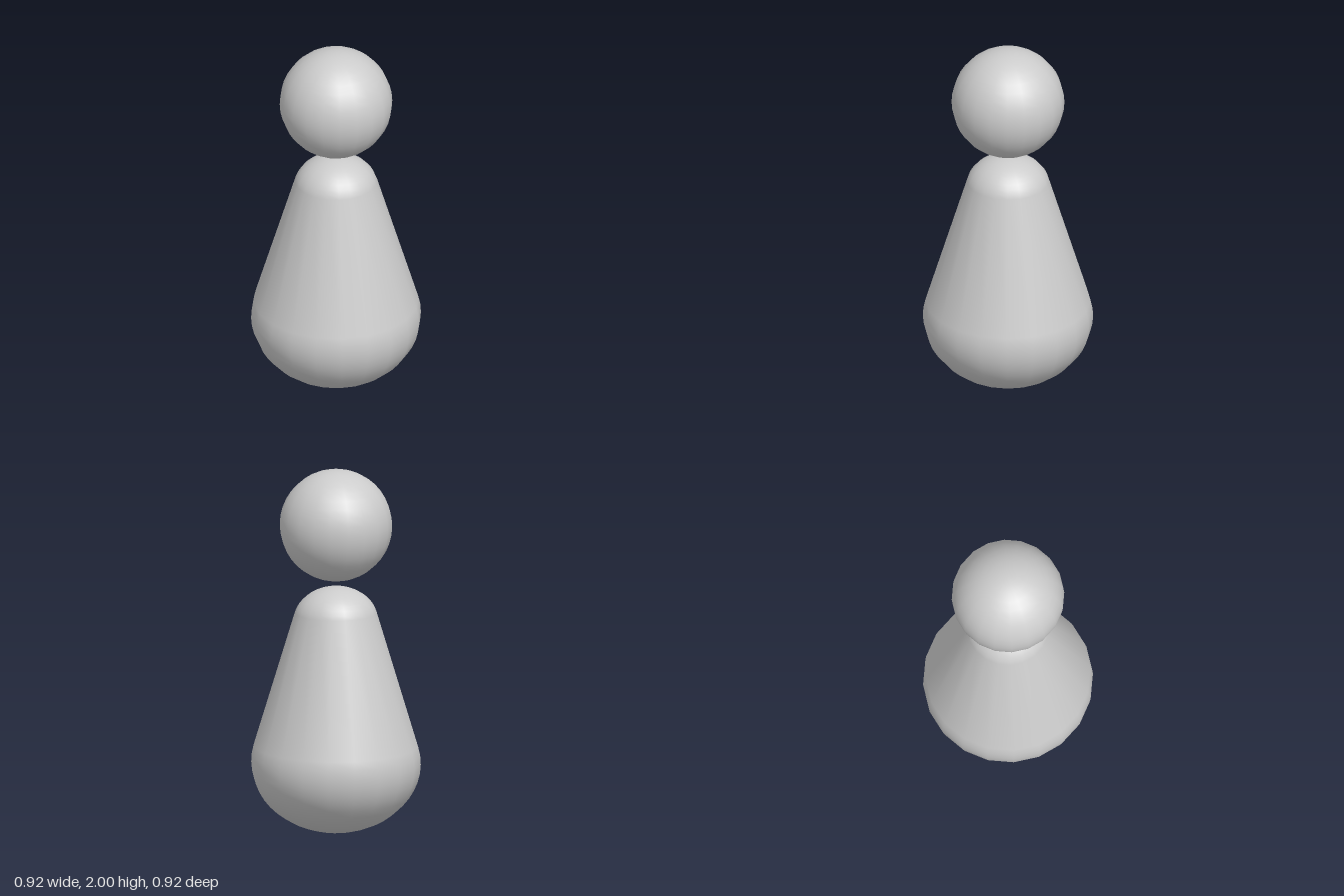
import * as THREE from 'three';

const SIDES = 20;

// Points along an elliptical arc of the profile, from angle a0 to a1 (0 = equator)
function arc(radius, height, centreY, a0, a1, steps) {
  return Array.from({ length: steps + 1 }, (_, i) => {
    const a = a0 + (a1 - a0) * i / steps;
    return new THREE.Vector2(Math.max(0, radius * Math.cos(a)), centreY + height * Math.sin(a));
  });
}

export function createModel() {
  const group = new THREE.Group();
  const material = new THREE.MeshStandardMaterial({ color: 0xcccccc });

  // Tapered body: wide rounded base, straight cone, small rounded top
  const tangent = 0.25;
  const profile = [
    ...arc(0.46, 0.38, 0.385, -Math.PI / 2, tangent, 14),
    ...arc(0.23, 0.19, 1.165, tangent, Math.PI / 2, 10),
  ];
  const body = new THREE.Mesh(new THREE.LatheGeometry(profile, SIDES), material);
  body.name = 'body';

  // Ball floating above the body
  const head = new THREE.Mesh(new THREE.SphereGeometry(0.305, SIDES, 20), material);
  head.name = 'head';
  head.position.y = 1.695;

  group.add(body, head);
  return group;
}
